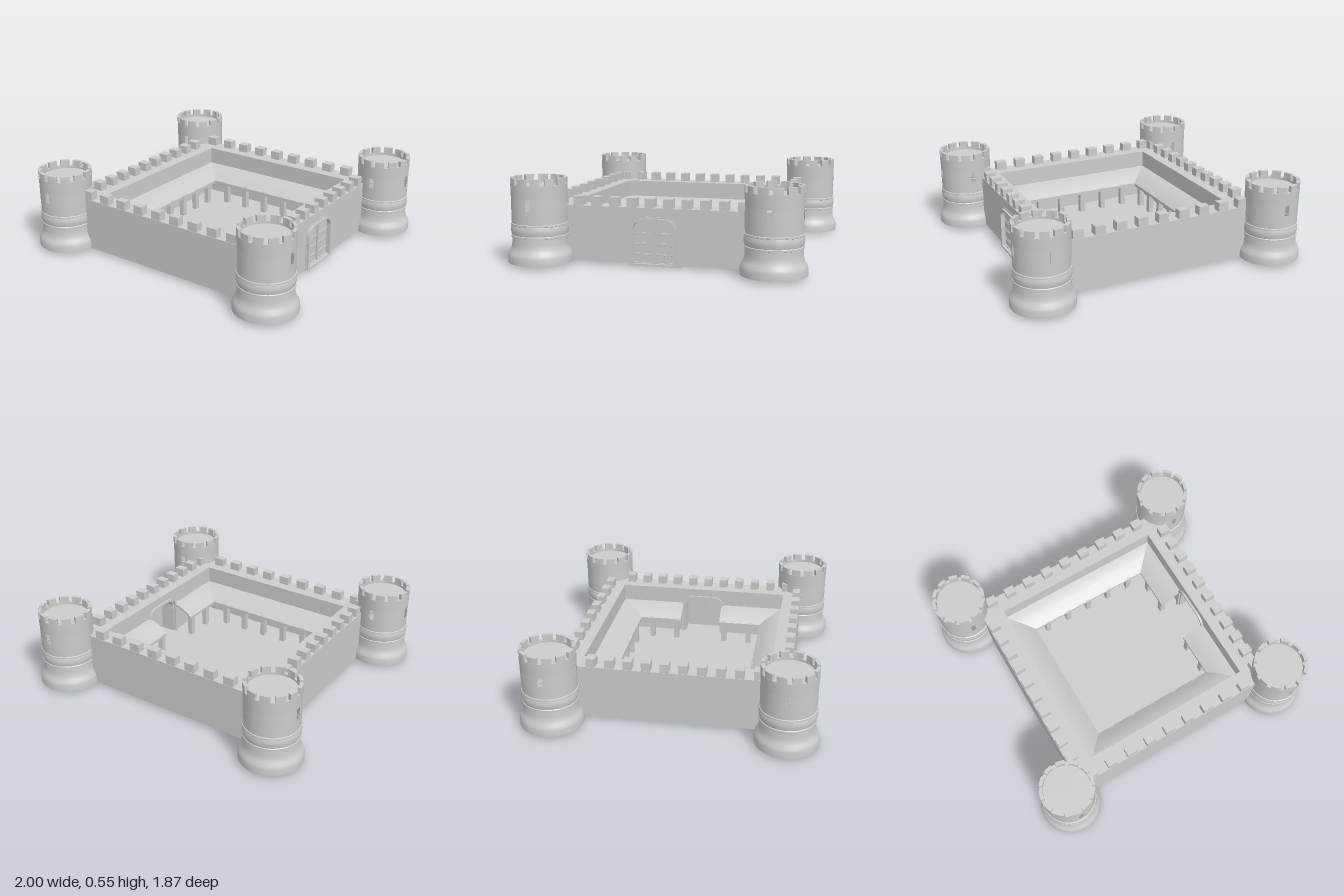
import * as THREE from 'three';
import { toCreasedNormals } from 'three/addons/utils/BufferGeometryUtils.js';

const stone = new THREE.MeshStandardMaterial({ color: 0xcccccc, side: THREE.DoubleSide });

// Plan limits of the curtain wall: outer face, inner face, gallery eave
const OUT = { x0: -0.71, x1: 0.73, z0: -0.7, z1: 0.735 };
const INN = { x0: -0.565, x1: 0.59, z0: -0.575, z1: 0.61 };
const EAVE = { x0: -0.415, x1: 0.44, z0: -0.42, z1: 0.455 };
const FLOOR = 0.02, WALK = 0.365, GATE_Z = 0.018;

function add(parent, name, geometry, x = 0, y = 0, z = 0) {
  const mesh = new THREE.Mesh(geometry, stone);
  mesh.name = name;
  mesh.position.set(x, y, z);
  parent.add(mesh);
  return mesh;
}

// Box given by its limits
function block(parent, name, x0, x1, y0, y1, z0, z1) {
  return add(parent, name, new THREE.BoxGeometry(x1 - x0, y1 - y0, z1 - z0),
    (x0 + x1) / 2, (y0 + y1) / 2, (z0 + z1) / 2);
}

// Doorway outline with rounded upper corners, drawn in (z, y)
function archPath(Type, half, bottom, top, r) {
  const p = new Type();
  p.moveTo(GATE_Z - half, bottom);
  p.lineTo(GATE_Z + half, bottom);
  p.lineTo(GATE_Z + half, top - r);
  p.absarc(GATE_Z + half - r, top - r, r, 0, Math.PI / 2, false);
  p.absarc(GATE_Z - half + r, top - r, r, Math.PI / 2, Math.PI, false);
  p.closePath();
  return p;
}

// Extrude a (z, y) outline so that it spans x0..x1
function extrudeX(shape, x0, x1) {
  return new THREE.ExtrudeGeometry(shape, { depth: x1 - x0, bevelEnabled: false, curveSegments: 8 })
    .rotateY(-Math.PI / 2).translate(x1, 0, 0);
}

// Sloping slab between two wall points (a, b) and two eave points (c, d), each [x, z]
function roofSlab(parent, a, b, c, d) {
  const geo = new THREE.BoxGeometry(1, 1, 1, 1, 1, 4), p = geo.attributes.position;
  for (let i = 0; i < p.count; i++) {
    const u = p.getX(i) + 0.5, v = p.getZ(i) + 0.5, low = p.getY(i) < 0;
    const at = k => THREE.MathUtils.lerp(
      THREE.MathUtils.lerp(a[k], b[k], u), THREE.MathUtils.lerp(c[k], d[k], u), v);
    const y = 0.25 - 0.07 * v + 0.012 * Math.sin(v * Math.PI);
    p.setXYZ(i, at(0), y - (low ? 0.02 : 0), at(1));
  }
  geo.computeVertexNormals();
  add(parent, 'galleryRoof', geo);
}

function makeTower(x, z) {
  const tower = new THREE.Group();
  tower.name = 'cornerTower';
  tower.position.set(x, 0, z);
  const lathe = (name, pts) => add(tower, name, toCreasedNormals(
    new THREE.LatheGeometry(pts.map(p => new THREE.Vector2(...p)), 48), 0.6));
  // Flared foot, two string courses and lower shaft
  lathe('towerBase', [[0.2, 0.018], [0.2, 0.06], [0.195, 0.078], [0.184, 0.095], [0.176, 0.115], [0.172, 0.14],
    [0.171, 0.178], [0.177, 0.18], [0.177, 0.19], [0.173, 0.194], [0.178, 0.215], [0.178, 0.235],
    [0.173, 0.252], [0.177, 0.254], [0.177, 0.263], [0.172, 0.266], [0.173, 0.35]]);
  // Shaft band interrupted by the arrow slits
  const slits = [0, x > 0 ? Math.PI / 2 : Math.PI * 1.5, Math.PI].sort((a, b) => a - b);
  const half = 0.09;
  slits.forEach((angle, i) => {
    const next = i < 2 ? slits[i + 1] : slits[0] + Math.PI * 2;
    add(tower, 'slitBand', new THREE.CylinderGeometry(0.173, 0.173, 0.07, 20, 1, true,
      angle + half, next - angle - half * 2), 0, 0.385, 0);
  });
  // Upper shaft, parapet ring and roof deck
  lathe('towerTop', [[0.173, 0.42], [0.175, 0.505], [0.152, 0.505], [0.152, 0.49], [0, 0.49]]);
  // Parapet merlons
  const count = 12, span = Math.PI * 2 / count * 0.68;
  for (let i = 0; i < count; i++) {
    const start = i / count * Math.PI * 2 + 0.1;
    const s = new THREE.Shape();
    s.absarc(0, 0, 0.175, start, start + span, false);
    s.absarc(0, 0, 0.152, start + span, start, true);
    s.closePath();
    add(tower, 'towerMerlon', new THREE.ExtrudeGeometry(s,
      { depth: 0.045, bevelEnabled: false, curveSegments: 4 }).rotateX(-Math.PI / 2), 0, 0.5, 0);
  }
  return tower;
}

function makeGate() {
  const gate = new THREE.Group();
  gate.name = 'gate';
  // Stepped frame running through the wall
  const ring = (outer, inner, topO, topI, r) => {
    const s = archPath(THREE.Shape, outer, 0.008, topO, r);
    s.holes.push(archPath(THREE.Path, inner, 0.02, topI, r - 0.015));
    return s;
  };
  add(gate, 'gateFrame', extrudeX(ring(0.155, 0.138, 0.312, 0.296, 0.075), 0.575, 0.735));
  add(gate, 'gateInnerFrame', extrudeX(ring(0.145, 0.128, 0.302, 0.286, 0.07), 0.59, 0.748));
  block(gate, 'gateSill', 0.68, 0.72, 0, 0.02, GATE_Z - 0.17, GATE_Z + 0.17);
  // Double door with seam, straps and rivets
  add(gate, 'gateDoor', extrudeX(archPath(THREE.Shape, 0.132, 0.015, 0.29, 0.06), 0.695, 0.72));
  block(gate, 'doorSeam', 0.69, 0.732, 0.015, 0.288, GATE_Z - 0.007, GATE_Z + 0.007);
  for (const side of [-1, 1]) {
    for (const y of [0.075, 0.14, 0.205]) {
      const zc = GATE_Z + side * 0.07;
      block(gate, 'doorStrap', 0.715, 0.725, y - 0.008, y + 0.008, zc - 0.054, zc + 0.054);
      for (let i = -2; i <= 2; i++) {
        add(gate, 'rivet', new THREE.SphereGeometry(0.005, 8, 6), 0.726, y, zc + i * 0.022);
      }
    }
  }
  return gate;
}

export function createModel() {
  const castle = new THREE.Group();
  castle.name = 'castle';

  // Courtyard floor
  block(castle, 'courtyardFloor', OUT.x0 + 0.002, OUT.x1 - 0.002, 0.016, 0.026, OUT.z0 + 0.002, OUT.z1 - 0.002);

  // Curtain walls
  block(castle, 'backWall', OUT.x0, OUT.x1, FLOOR, WALK, OUT.z0, INN.z0);
  block(castle, 'frontWall', OUT.x0, OUT.x1, FLOOR, WALK, INN.z1, OUT.z1);
  block(castle, 'plainSideWall', OUT.x0, INN.x0, FLOOR, WALK, INN.z0, INN.z1);
  const wall = new THREE.Shape([[INN.z0, FLOOR], [INN.z1, FLOOR], [INN.z1, WALK], [INN.z0, WALK]]
    .map(p => new THREE.Vector2(...p)));
  wall.holes.push(archPath(THREE.Path, 0.14, 0.024, 0.298, 0.062));
  add(castle, 'gateWall', extrudeX(wall, INN.x1, OUT.x1));

  // Wall merlons
  for (let i = 0; i < 9; i++) {
    const x = 0.548 - i * 0.1445;
    block(castle, 'frontMerlon', x - 0.035, x + 0.035, WALK - 0.01, 0.422, 0.68, 0.732);
    block(castle, 'backMerlon', x - 0.035, x + 0.035, WALK - 0.01, 0.422, -0.697, -0.643);
  }
  for (let i = 0; i < 11; i++) {
    const z = -0.5 + i * 0.116;
    block(castle, 'plainSideMerlon', -0.707, -0.638, WALK - 0.01, 0.422, z - 0.028, z + 0.028);
    block(castle, 'gateSideMerlon', 0.657, 0.727, WALK - 0.01, 0.422, z - 0.063, z - 0.007);
  }

  // Gallery roof around the courtyard, open at the gate
  const I = INN, E = EAVE, g0 = -0.125, g1 = 0.16;
  roofSlab(castle, [I.x0, I.z0], [I.x1, I.z0], [E.x0, E.z0], [E.x1, E.z0]);
  roofSlab(castle, [I.x1, I.z1], [I.x0, I.z1], [E.x1, E.z1], [E.x0, E.z1]);
  roofSlab(castle, [I.x0, I.z1], [I.x0, I.z0], [E.x0, E.z1], [E.x0, E.z0]);
  roofSlab(castle, [I.x1, I.z0], [I.x1, g0], [E.x1, E.z0], [E.x1, g0]);
  roofSlab(castle, [I.x1, g1], [I.x1, I.z1], [E.x1, g1], [E.x1, E.z1]);

  // Gallery posts
  const post = (x, z) => block(castle, 'galleryPost', x - 0.018, x + 0.018, 0.012, 0.185, z - 0.018, z + 0.018);
  for (let i = 0; i < 5; i++) {
    const x = -0.32 + i * 0.165;
    post(x, E.z0 - 0.022);
    post(x, E.z1 + 0.022);
  }
  for (let i = 0; i < 6; i++) post(E.x0 - 0.022, -0.35 + i * 0.148);
  for (const z of [-0.34, -0.16, 0.195, 0.375]) post(E.x1 + 0.022, z);

  castle.add(makeGate());

  // Corner towers
  for (const x of [-0.8, 0.8]) for (const z of [-0.738, 0.735]) castle.add(makeTower(x, z));
  return castle;
}
